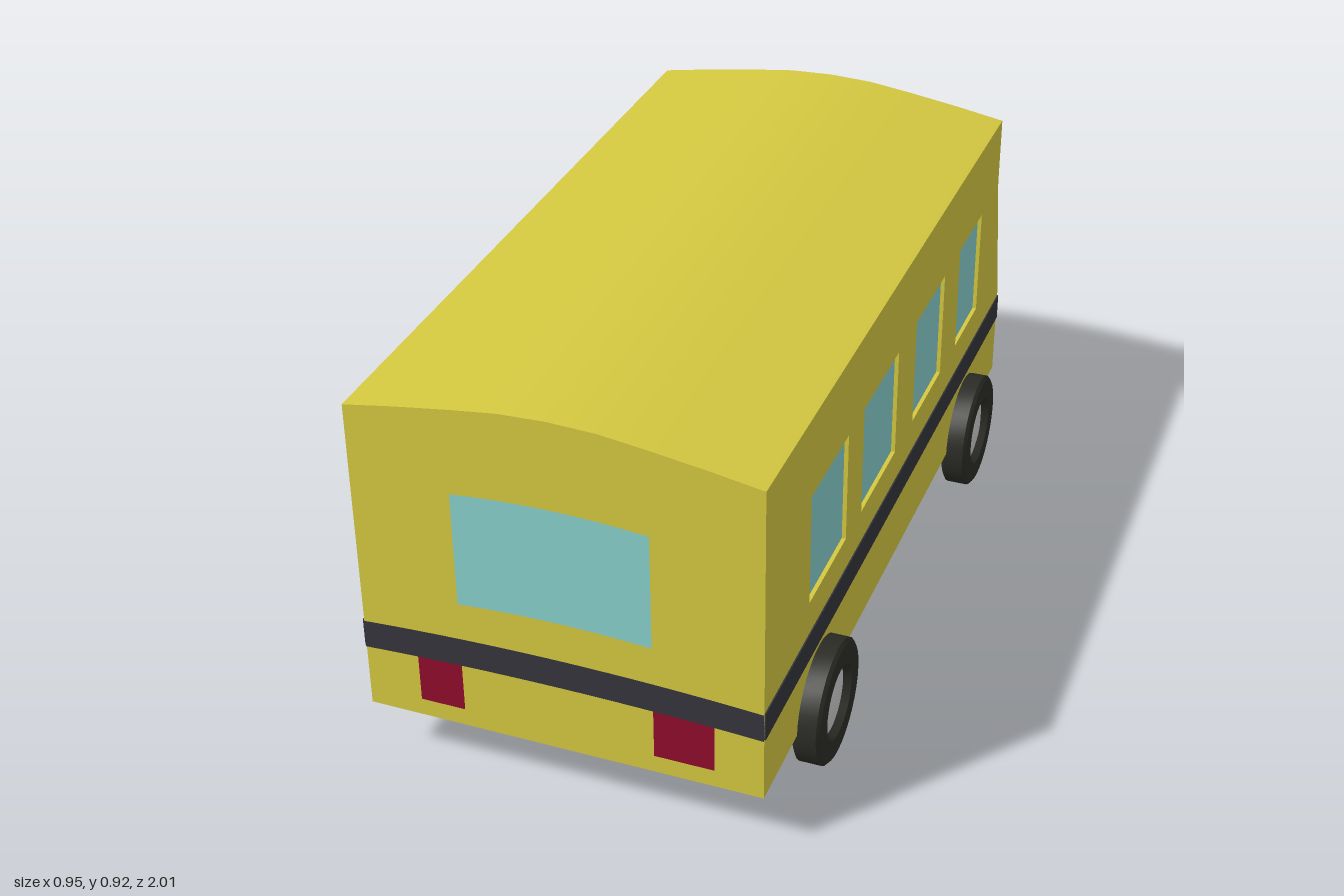
import * as THREE from 'three';
import { toCreasedNormals } from 'three/addons/utils/BufferGeometryUtils.js';

const mat = (color) => new THREE.MeshStandardMaterial({ color });
const yellow = mat(0xd4c840), dark = mat(0x34353c), glass = mat(0x88d0cc);
const red = mat(0x900c2c), rubber = mat(0x2b2b26), grey = mat(0xcccccc);

const W = 0.43, INNER = 0.415, BACK = 1, FRONT = -0.68, CORNER = -0.75, FLOOR = 0.14;

// Nose heights: [y, z at the corners, z at the centre]
const levels = [
  [0.14, -0.68, -0.68], [0.14, -0.75, -0.93], [0.19, -0.75, -0.985], [0.29, -0.75, -1],
  [0.36, -0.75, -1], [0.43, -0.735, -0.92], [0.45, -0.73, -0.79], [0.7, -0.68, -0.68],
];
const bulge = (x, y) => 1 - Math.abs(x / W) ** (y > 0.44 ? 2 : 2.7);
const levelZ = (l, x) => l[1] + (l[2] - l[1]) * bulge(x, l[0]);

function noseZ(x, y) {
  let i = 1;
  while (i < levels.length - 2 && y > levels[i + 1][0]) i++;
  const a = levels[i], b = levels[i + 1];
  return THREE.MathUtils.lerp(levelZ(a, x), levelZ(b, x), (y - a[0]) / (b[0] - a[0]));
}

// Surface patch: u runs left to right and v upward, seen from outside
function patch(nu, nv, fn) {
  const g = new THREE.PlaneGeometry(1, 1, nu, nv);
  const { position, uv } = g.attributes;
  for (let i = 0; i < position.count; i++) position.setXYZ(i, ...fn(uv.getX(i), uv.getY(i)));
  return toCreasedNormals(g, 0.6);
}

export function createModel() {
  const bus = new THREE.Group();
  bus.name = 'bus';
  const lerp = THREE.MathUtils.lerp;
  const add = (name, geometry, material, parent = bus) => {
    const m = new THREE.Mesh(geometry, material);
    m.name = name;
    parent.add(m);
    return m;
  };

  // Core with the arched roof
  const roof = [[W, 0.865], [0.32, 0.884], [0.2, 0.902], [0.1, 0.915], [0, 0.919]];
  const arch = [...roof, ...roof.slice(0, 4).reverse().map(([x, y]) => [-x, y])];
  const section = [[-INNER, FLOOR], [INNER, FLOOR], [INNER, 0.864], ...arch, [-INNER, 0.864]];
  const core = new THREE.ExtrudeGeometry(
    new THREE.Shape(section.map((p) => new THREE.Vector2(...p))),
    { depth: BACK - FRONT, bevelEnabled: false });
  core.translate(0, 0, FRONT);
  add('bodyAndRoof', toCreasedNormals(core, 0.5), yellow);

  // Side walls with window openings, glass set into them, and stripes
  const windows = [[0.5, 0.735], [0.15, 0.395], [-0.21, 0.015], [-0.53, -0.34]];
  const outline = [[-BACK, FLOOR], [-CORNER, FLOOR], [-CORNER, 0.36], [-FRONT, 0.7],
    [-FRONT, 0.865], [-BACK, 0.865]];
  const wall = new THREE.Shape(outline.map((p) => new THREE.Vector2(...p)));
  for (const [z0, z1] of windows) {
    wall.holes.push(new THREE.Path([[-z0, 0.43], [-z1, 0.43], [-z1, 0.685], [-z0, 0.685]]
      .map((p) => new THREE.Vector2(...p))));
  }
  // The wall shape is drawn with -z to the right, then turned to face +x
  const wallGeometry = new THREE.ExtrudeGeometry(wall, { depth: W - INNER, bevelEnabled: false });
  wallGeometry.rotateY(Math.PI / 2).translate(INNER, 0, 0);
  const mirrored = wallGeometry.clone().translate(-INNER - W, 0, 0);
  for (const side of [1, -1]) {
    const label = side > 0 ? 'left' : 'right';
    add(label + 'Wall', side > 0 ? wallGeometry : mirrored, yellow);
    for (const [z0, z1] of windows) {
      const pane = add(label + 'Window', new THREE.BoxGeometry(0.006, 0.255, z1 - z0), glass);
      pane.position.set(side * (INNER + 0.003), 0.5575, (z0 + z1) / 2);
    }
    const stripe = add(label + 'Stripe',
      new THREE.BoxGeometry(0.004, 0.064, BACK - CORNER), dark);
    stripe.position.set(side * (W + 0.001), 0.32, (BACK + CORNER) / 2);
  }

  // Rounded nose, including its underside
  const n = levels.length - 1;
  add('nose', patch(32, n, (u, v) => {
    const l = levels[Math.round(v * n)], x = lerp(W, -W, u);
    return [x, l[0], levelZ(l, x)];
  }), yellow);

  // Panels lying on the nose: half width or x range, with bottom and top heights
  const onNose = (x0, x1, bottom, top) => patch(24, 10, (u, v) => {
    const x = lerp(x0, x1, u), y = lerp(bottom(x), top(x), v);
    return [x, y, noseZ(x, y) - 0.004];
  });
  const crown = (base, rise) => (x) => base + rise * (1 - (x / W) ** 2);
  add('windshield', onNose(0.33, -0.33, crown(0.485, 0.01), crown(0.67, 0.02)), glass);
  add('noseStripe', onNose(W, -W, crown(0.288, 0.004), crown(0.352, 0.008)), dark);
  add('leftHeadlight', onNose(0.345, 0.215, () => 0.185, () => 0.288), grey);
  add('rightHeadlight', onNose(-0.215, -0.345, () => 0.185, () => 0.288), grey);

  // Panels on the flat back
  const onBack = (x0, x1, bottom, top, lift) => patch(16, 1, (u, v) => {
    const x = lerp(x0, x1, u);
    return [x, lerp(bottom(x), top(x), v), BACK + lift];
  });
  add('backStripe', onBack(-W, W, crown(0.286, 0.012), crown(0.351, 0.015), 0.003), dark);
  add('backWindow', onBack(-0.213, 0.2, crown(0.42, 0.037), crown(0.673, 0.049), 0.002), glass);
  add('rightTailLight', onBack(-0.312, -0.214, () => 0.182, () => 0.295, 0.002), red);
  add('leftTailLight', onBack(0.2, 0.328, () => 0.182, () => 0.295, 0.002), red);

  // Wheels
  const lathe = (pts) => toCreasedNormals(
    new THREE.LatheGeometry(pts.map((p) => new THREE.Vector2(...p)), 32), 0.6);
  const tyre = lathe([[0.075, -0.031], [0.125, -0.031], [0.1365, -0.024], [0.1365, 0.024],
    [0.128, 0.031], [0.082, 0.031], [0.073, 0.012]]);
  const hub = lathe([[0, -0.046], [0.055, -0.046], [0.076, -0.03], [0.076, 0.014],
    [0.04, 0.022], [0, 0.024]]);
  for (const side of [1, -1]) {
    for (const z of [0.663, -0.45]) {
      const wheel = new THREE.Group();
      wheel.name = (side > 0 ? 'left' : 'right') + (z > 0 ? 'BackWheel' : 'FrontWheel');
      add('tyre', tyre, rubber, wheel);
      add('hub', hub, grey, wheel);
      wheel.rotation.z = -side * Math.PI / 2;
      wheel.position.set(side * 0.446, side > 0 ? 0.1365 : 0.154, z);
      bus.add(wheel);
    }
  }
  return bus;
}
